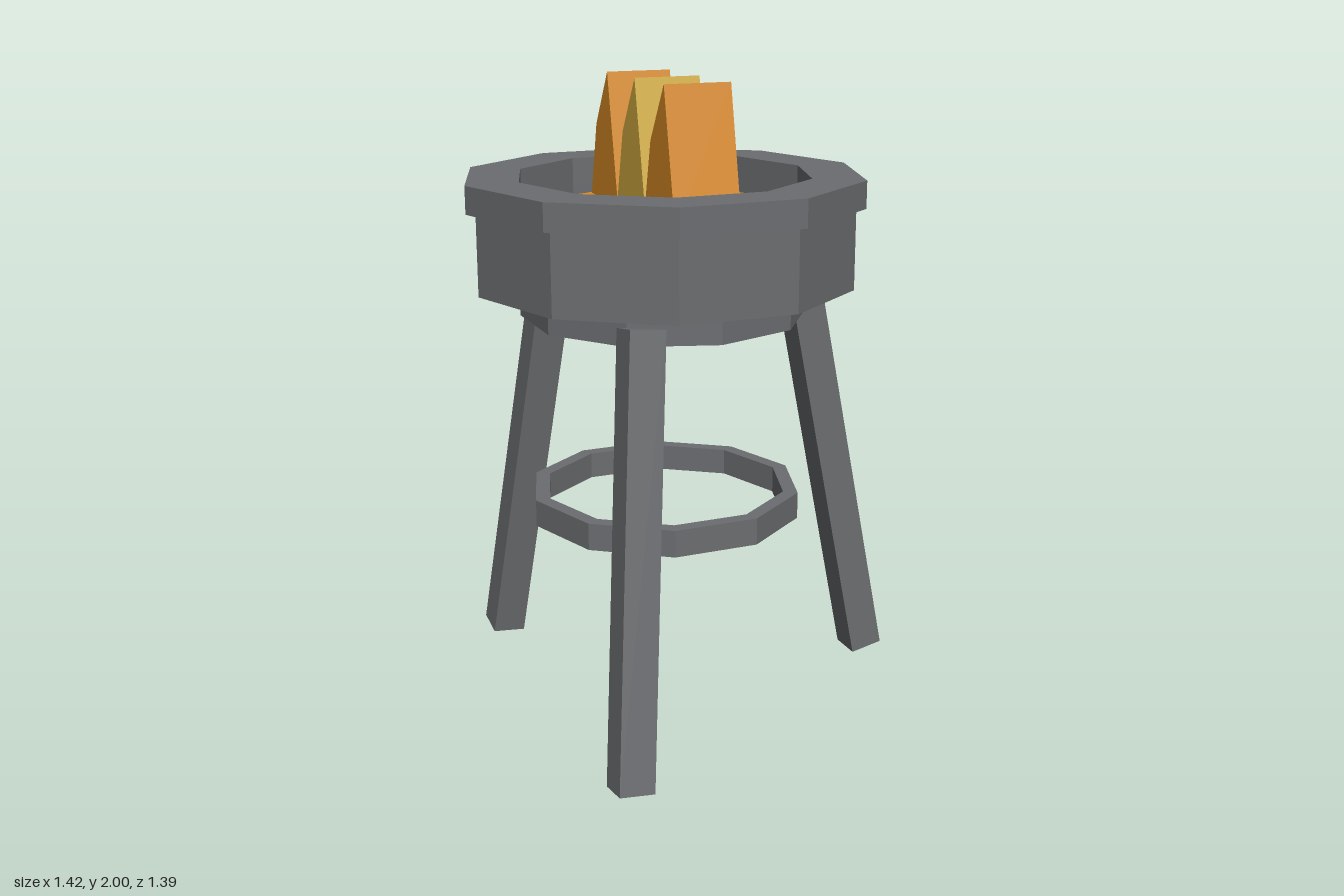
import * as THREE from 'three';

const mat = (name, color) => {
  const m = new THREE.MeshStandardMaterial({ color });
  m.name = name;
  return m;
};

export function createModel() {
  const iron = mat('iron grey', 0x6b6d70);
  const orange = mat('ember orange', 0xd98a24);
  const yellow = mat('flame yellow', 0xd4ad42);

  const model = new THREE.Group();
  model.name = 'brazier';
  const body = new THREE.Group();
  body.name = 'brazierBody';
  body.position.x = -0.085; // the tripod reaches further on one side
  model.add(body);

  const add = (name, geometry, material) => {
    const mesh = new THREE.Mesh(geometry, material);
    mesh.name = name;
    body.add(mesh);
    return mesh;
  };

  // Faceted ring with a square section, a corner on the x axis
  const polygon = (path, r, sides) => {
    for (let i = 0; i < sides; i++) {
      const a = (i / sides) * Math.PI * 2;
      path[i ? 'lineTo' : 'moveTo'](r * Math.cos(a), r * Math.sin(a));
    }
    path.closePath();
    return path;
  };
  const ring = (name, outer, inner, y0, y1) => {
    const shape = polygon(new THREE.Shape(), outer, 10);
    shape.holes.push(polygon(new THREE.Path(), inner, 10));
    const g = new THREE.ExtrudeGeometry(shape, { depth: y1 - y0, bevelEnabled: false });
    g.rotateX(-Math.PI / 2).translate(0, y0, 0);
    add(name, g, iron);
  };
  ring('rim', 0.625, 0.46, 1.62, 1.705);
  ring('bowlWall', 0.595, 0.46, 1.37, 1.62);
  ring('braceRing', 0.435, 0.388, 0.62, 0.705);

  // Bowl floor
  const floor = new THREE.CylinderGeometry(0.447, 0.447, 0.105, 10).toNonIndexed();
  floor.computeVertexNormals();
  add('bowlFloor', floor, iron).position.y = 1.322;

  // Ember bed
  const embers = new THREE.CylinderGeometry(0.42, 0.42, 0.05, 8).toNonIndexed();
  embers.computeVertexNormals();
  add('emberBed', embers, orange).position.y = 1.575;

  // Three splayed legs
  for (let i = 0; i < 3; i++) {
    const a = (i * Math.PI * 2) / 3;
    const c = Math.cos(a), s = Math.sin(a);
    const leg = add('leg' + (i + 1), new THREE.BoxGeometry(0.11, 1.345, 0.11), iron);
    leg.position.set(0.603 * c, 0.672, 0.603 * s);
    leg.rotation.set(-0.2 * s, 0, 0.2 * c);
  }

  // Flames: one side profile (z, y) pushed across x
  const profile = [[-0.127, 1.59], [0.118, 1.59], [0.035, 2], [-0.07, 1.83]];
  const flameShape = new THREE.Shape(profile.map(([z, y]) => new THREE.Vector2(-z, y)));
  const flame = new THREE.ExtrudeGeometry(flameShape, { depth: 0.21, bevelEnabled: false });
  flame.translate(0, 0, -0.105).rotateY(Math.PI / 2);
  [['frontFlame', 0.23, orange], ['middleFlame', 0, yellow], ['backFlame', -0.235, orange]]
    .forEach(([name, z, material]) => { add(name, flame, material).position.z = z; });

  return model;
}
